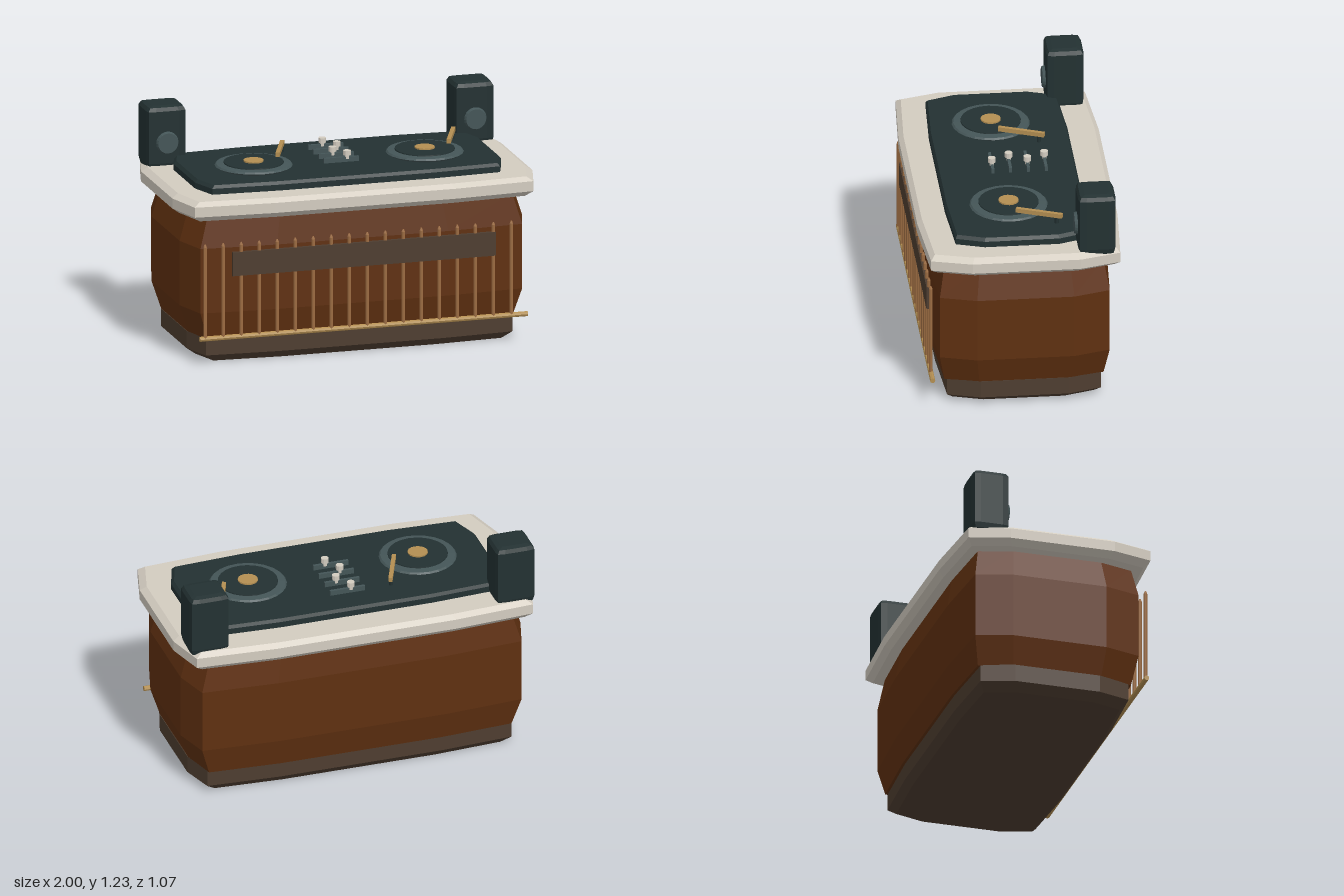
import * as THREE from 'three';

const mat = (name, color, flatShading = true) => {
  const m = new THREE.MeshStandardMaterial({ color, flatShading });
  m.name = name;
  return m;
};

// Soft-cornered block lofted through rings of [y, halfX, halfZ]; (cx, cz) = corner ratios, (mx, mz) = flat-run ratios
function softBlock(rings, cx = 0.94, cz = 0.945, mx = 0.5, mz = 0.54) {
  const outline = [
    [1, -mz], [cx, -cz], [mx, -1], [-mx, -1], [-cx, -cz], [-1, -mz],
    [-1, mz], [-cx, cz], [-mx, 1], [mx, 1], [cx, cz], [1, mz],
  ];
  const n = outline.length, pos = [], idx = [];
  for (const [y, hx, hz] of rings) for (const [x, z] of outline) pos.push(x * hx, y, z * hz);
  const last = (rings.length - 1) * n, low = rings.length * n, high = low + 1;
  pos.push(0, rings[0][0], 0, 0, rings[rings.length - 1][0], 0);
  for (let i = 0; i < n; i++) {
    const j = (i + 1) % n;
    for (let r = 0; r < last; r += n) idx.push(r + i, r + j, r + n + j, r + i, r + n + j, r + n + i);
    idx.push(low, j, i, high, last + i, last + j);
  }
  const g = new THREE.BufferGeometry();
  g.setAttribute('position', new THREE.Float32BufferAttribute(pos, 3));
  g.setIndex(idx);
  const flat = g.toNonIndexed();
  flat.computeVertexNormals();
  return flat;
}

export function createModel() {
  const model = new THREE.Group();
  model.name = 'djBooth';
  const wood = mat('brown wood', 0x5f3010);
  const darkWood = mat('dark wood', 0x4e3d30);
  const cream = mat('cream counter', 0xd3ccc0);
  const black = mat('dark slate', 0x233132);
  const grey = mat('grey slate', 0x445557);
  const gold = mat('gold', 0xb48f52);
  const copper = mat('copper', 0x9c6c42);

  const add = (name, geometry, material, x = 0, y = 0, z = 0, parent = model) => {
    const m = new THREE.Mesh(geometry, material);
    m.name = name;
    m.position.set(x, y, z);
    parent.add(m);
    return m;
  };

  // Cabinet
  add('base', softBlock([[0, 0.85, 0.4], [0.04, 0.905, 0.435], [0.135, 0.905, 0.435]]), darkWood);
  add('body', softBlock([[0.13, 0.9, 0.45], [0.285, 0.95, 0.48], [0.64, 0.95, 0.48], [0.805, 0.9, 0.45]]), wood);
  add('counter', softBlock([[0.8, 0.96, 0.505], [0.83, 1, 0.535], [0.885, 1, 0.535], [0.908, 0.965, 0.51]]), cream);
  add('deck', softBlock([[0.9, 0.85, 0.37], [0.94, 0.85, 0.37], [0.957, 0.835, 0.36]]), black, 0, 0, 0.01);

  // Front slats, rail and panel
  const slatShape = new THREE.CylinderGeometry(0.01, 0.01, 0.5, 8);
  const tipShape = new THREE.CylinderGeometry(0.004, 0.01, 0.015, 8);
  for (let i = 0; i < 18; i++) {
    const x = -0.88 + i * 0.1;
    add('slat', slatShape, copper, x, 0.41, 0.496);
    add('slatTip', tipShape, copper, x, 0.667, 0.496);
  }
  const rail = add('rail', new THREE.CylinderGeometry(0.014, 0.014, 1.82, 8), gold, 0, 0.155, 0.494);
  rail.rotation.z = Math.PI / 2;
  add('frontPanel', new THREE.BoxGeometry(1.46, 0.13, 0.02), darkWood, 0, 0.557, 0.499);

  // Speakers
  const cabinet = softBlock([[0.89, 0.1, 0.092], [0.92, 0.107, 0.1], [1.205, 0.107, 0.1],
    [1.225, 0.095, 0.09], [1.232, 0.07, 0.065]], 0.95, 0.94, 0.6, 0.6);
  const cone = new THREE.CylinderGeometry(0.055, 0.064, 0.02, 20);
  for (const side of [-1, 1]) {
    const speaker = new THREE.Group();
    speaker.name = side < 0 ? 'rightSpeaker' : 'leftSpeaker';
    speaker.position.set(side * 0.855, 0, -0.382);
    model.add(speaker);
    add('speakerCabinet', cabinet, black, 0, 0, 0, speaker);
    add('speakerCone', cone, grey, 0, 1.032, 0.106, speaker).rotation.x = Math.PI / 2;
  }

  // Turntables, both with the arm on the same side
  const ring = new THREE.LatheGeometry([[0.15, 0.95], [0.19, 0.955], [0.208, 0.968], [0.2, 0.977], [0.15, 0.982]]
    .map(([r, y]) => new THREE.Vector2(r, y)), 24);
  for (const x of [-0.475, 0.475]) {
    const deck = new THREE.Group();
    deck.name = 'turntable';
    deck.position.set(x, 0, 0.045);
    model.add(deck);
    add('platterRing', ring, grey, 0, 0, 0, deck);
    add('record', new THREE.CylinderGeometry(0.16, 0.168, 0.035, 24), black, 0, 0.969, 0, deck);
    add('recordLabel', new THREE.CylinderGeometry(0.054, 0.054, 0.009, 16), gold, 0, 0.99, 0, deck);
    const arm = add('toneArm', new THREE.BoxGeometry(0.022, 0.024, 0.255), gold, 0.19, 1.004, -0.145, deck);
    arm.rotation.y = -0.39;
    add('armPivot', new THREE.CylinderGeometry(0.011, 0.011, 0.045, 8), black, 0.225, 0.975, -0.235, deck);
  }

  // Mixer faders
  for (let i = 0; i < 4; i++) {
    const z = -0.195 + i * 0.095, x = i % 2 ? 0.03 : -0.022;
    add('faderTrack', new THREE.BoxGeometry(0.195, 0.028, 0.016), grey, -0.003, 0.97, z);
    add('faderKnob', new THREE.CylinderGeometry(0.021, 0.021, 0.026, 12), cream, x, 1.006, z);
    add('faderStem', new THREE.CylinderGeometry(0.012, 0.012, 0.025, 8), cream, x, 0.985, z);
  }
  return model;
}
